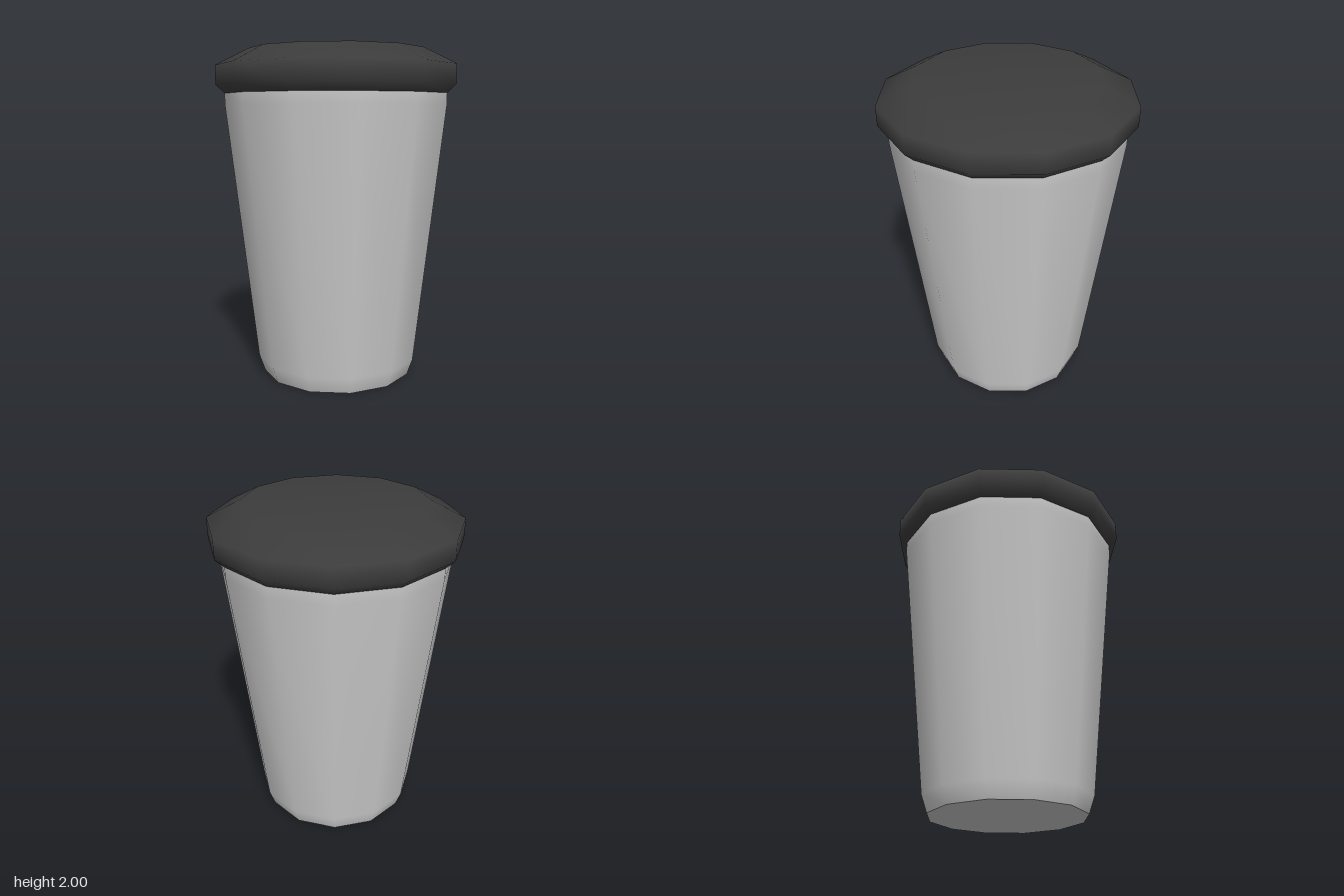
import * as THREE from 'three';

const SIDES = 12;

// Revolve a bottom-to-top profile of [radius, height] pairs
function revolve(name, profile, material) {
  const points = profile.map(([r, y]) => new THREE.Vector2(r, y));
  const mesh = new THREE.Mesh(new THREE.LatheGeometry(points, SIDES), material);
  mesh.name = name;
  return mesh;
}

export function createModel() {
  const group = new THREE.Group();
  group.name = 'lidded cup';
  const cupMaterial = new THREE.MeshStandardMaterial({ color: 0xcccccc });
  const lidMaterial = new THREE.MeshStandardMaterial({ color: 0x3c3c3c });

  // Tapered wall with a narrow foot and a short straight rim
  group.add(revolve('cupWall', [[0.465, 0], [0.5, 0.1], [0.68, 1.67], [0.68, 1.74]], cupMaterial));

  // Flat base, kept separate so its edge stays sharp
  group.add(revolve('cupBase', [[0, 0], [0.465, 0]], cupMaterial));

  // Overhanging lid, softly shaded over its top
  group.add(revolve('lid', [[0.68, 1.735], [0.733, 1.785], [0.733, 1.9], [0.535, 2], [0, 2]], lidMaterial));

  return group;
}
